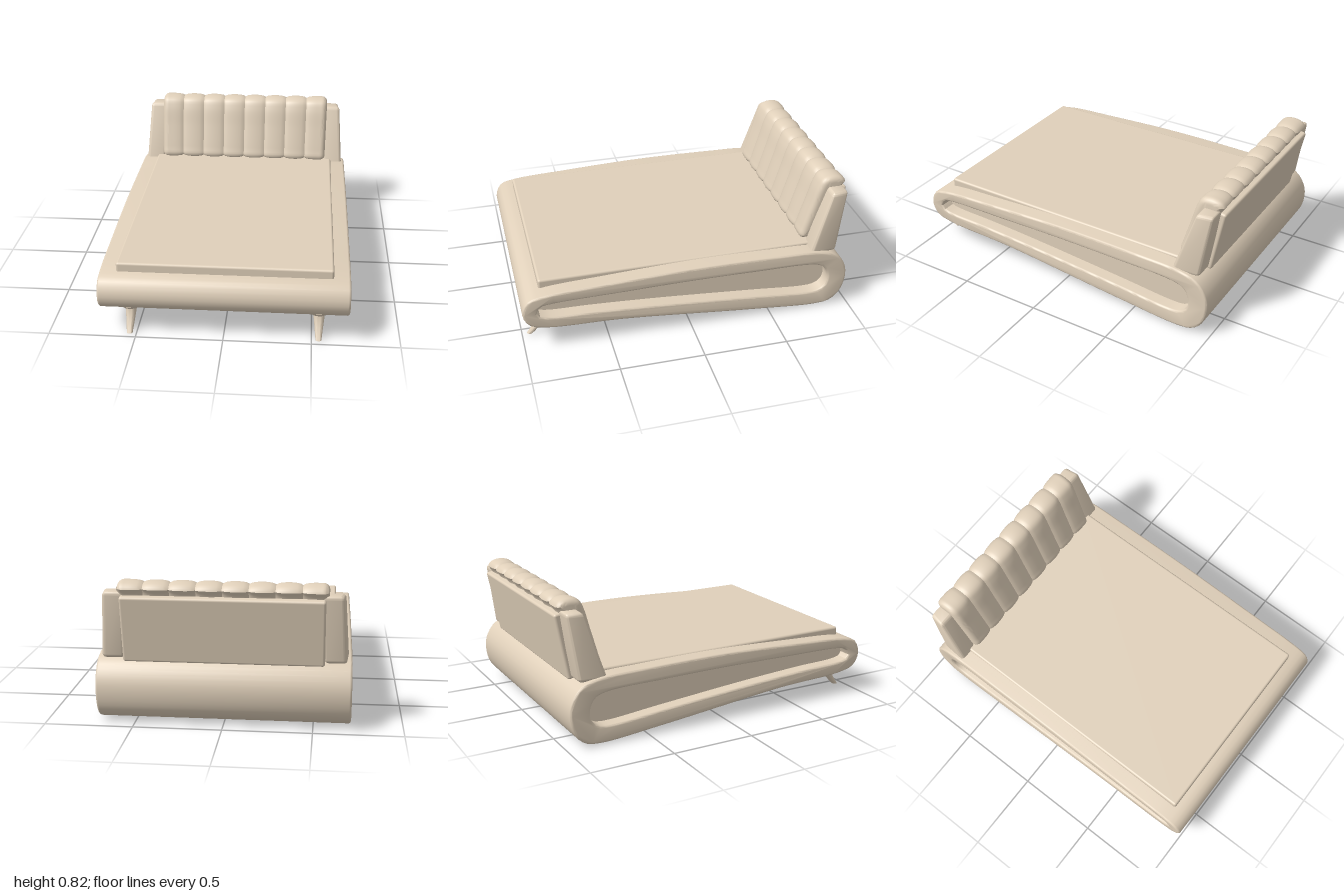
import * as THREE from 'three';
import { toCreasedNormals } from 'three/addons/utils/BufferGeometryUtils.js';
import { RoundedBoxGeometry } from 'three/addons/geometries/RoundedBoxGeometry.js';

const material = new THREE.MeshStandardMaterial({ color: 0xe0d0ba });

function addMesh(parent, name, geometry) {
  const mesh = new THREE.Mesh(geometry, material);
  mesh.name = name;
  parent.add(mesh);
  return mesh;
}

// Smooth closed outline through (z, y) points
function outline(points, count) {
  const curve = new THREE.CatmullRomCurve3(
    points.map(([z, y]) => new THREE.Vector3(z, y, 0)), true);
  return curve.getSpacedPoints(count).slice(0, -1).map(p => new THREE.Vector2(p.x, p.y));
}

// Extrude a (z, y) shape across the full width, centred on x = 0
function extrudeAcross(shape, width, bevel) {
  const g = new THREE.ExtrudeGeometry(shape, {
    depth: width - 2 * bevel, bevelEnabled: bevel > 0, bevelThickness: bevel,
    bevelSize: bevel, bevelOffset: -bevel, bevelSegments: 3,
  });
  g.translate(0, 0, -(width - 2 * bevel) / 2);
  g.rotateY(-Math.PI / 2);
  return toCreasedNormals(g, 0.6);
}

// Move every vertex by a rule
function reshape(geometry, rule) {
  const pos = geometry.attributes.position;
  const v = new THREE.Vector3();
  for (let i = 0; i < pos.count; i++) {
    rule(v.fromBufferAttribute(pos, i));
    pos.setXYZ(i, v.x, v.y, v.z);
  }
  geometry.computeVertexNormals();
  return geometry;
}

// Channelled cushion: a rounded section lofted along x, pinched at each seam
function cushionGeometry() {
  const section = outline([
    [-0.722, 0.43], [-0.735, 0.48], [-0.78, 0.63], [-0.818, 0.755], [-0.845, 0.803],
    [-0.9, 0.82], [-0.96, 0.808], [-0.984, 0.78], [-0.965, 0.75], [-0.94, 0.62],
    [-0.89, 0.42], [-0.8, 0.413], [-0.735, 0.413],
  ], 72);
  const n = section.length;
  const normals = section.map((p, i) => {
    const d = section[(i + 1) % n].clone().sub(section[(i + n - 1) % n]).normalize();
    return new THREE.Vector2(-d.y, d.x); // points into the section
  });
  const centre = new THREE.Vector2(-0.855, 0.6);
  const channels = 8, half = 0.577, round = 0.035;

  // Stations along x, closer together at the rounded ends
  const xs = [-half];
  for (let k = 0; k <= 6; k++) xs.push(-half + round * (1 - Math.cos(k / 6 * Math.PI / 2)));
  const steps = channels * 10;
  for (let k = 1; k < steps; k++) {
    const x = -half + 2 * half * k / steps;
    if (Math.abs(x) < half - round - 0.002) xs.push(x);
  }
  for (let k = 6; k >= 0; k--) xs.push(half - round * (1 - Math.cos(k / 6 * Math.PI / 2)));
  xs.push(half);

  const positions = [], index = [];
  xs.forEach((x, r) => {
    const cap = r === 0 || r === xs.length - 1;
    const t = (x + half) / (2 * half) * channels;
    const edge = Math.max(0, 1 - (half - Math.abs(x)) / round);
    const inner = Math.abs(x) < half * (1 - 1 / channels);
    const bulge = inner || Math.abs(t - channels / 2) < channels / 2 - 0.5
      ? Math.abs(Math.sin(Math.PI * t)) : 1;
    const inset = 0.014 * (1 - Math.sqrt(bulge)) + round * (1 - Math.sqrt(1 - edge * edge));
    section.forEach((p, i) => {
      const q = cap ? centre : p.clone().addScaledVector(normals[i], inset);
      positions.push(x * (1 + 0.03 * (q.y - 0.7)), q.y, q.x);
      if (r > 0) {
        const a = (r - 1) * n + i, b = (r - 1) * n + (i + 1) % n;
        index.push(a, a + n, b, b, a + n, b + n);
      }
    });
  });
  const g = new THREE.BufferGeometry();
  g.setAttribute('position', new THREE.Float32BufferAttribute(positions, 3));
  g.setIndex(index);
  // Keep faces outward whichever way the section runs
  if (THREE.ShapeUtils.isClockWise(section)) index.reverse(), g.setIndex(index);
  return toCreasedNormals(g, 0.7);
}

// Slanted side wing of the headboard
function wingGeometry(side) {
  const g = new RoundedBoxGeometry(0.125, 0.39, 0.16, 4, 0.022);
  return toCreasedNormals(reshape(g, v => {
    const t = v.y / 0.39 + 0.5;           // 0 at the foot, 1 at the top
    const s = v.z / 0.16 + 0.5;           // 0 at the back, 1 at the front
    const back = THREE.MathUtils.lerp(-0.91, -0.966, t);
    const front = THREE.MathUtils.lerp(-0.74, -0.868, t);
    const outer = THREE.MathUtils.lerp(0.693, 0.667, t) - 0.012 * (1 - s);
    v.set(side * (outer - 0.0625) + v.x, 0.37 + 0.39 * t, THREE.MathUtils.lerp(back, front, s));
  }), 0.6);
}

export function createModel() {
  const model = new THREE.Group();
  model.name = 'bed';

  // Wrap-around frame with a slot through its sides
  const outer = outline([
    [1, 0.25], [0.965, 0.335], [0.88, 0.362], [0.5, 0.386], [0, 0.405], [-0.5, 0.402],
    [-0.8, 0.39], [-0.91, 0.355], [-0.97, 0.27], [-0.98, 0.18], [-0.95, 0.08],
    [-0.89, 0.025], [-0.8, 0.01], [-0.4, 0.04], [0.4, 0.118], [0.87, 0.143], [0.965, 0.175],
  ], 140);
  const slot = outline([
    [0.917, 0.25], [0.895, 0.29], [0.84, 0.302], [0.4, 0.312], [0, 0.318], [-0.4, 0.315],
    [-0.76, 0.305], [-0.83, 0.28], [-0.862, 0.21], [-0.845, 0.14], [-0.8, 0.113],
    [-0.72, 0.108], [-0.4, 0.135], [0.2, 0.182], [0.6, 0.205], [0.84, 0.213], [0.9, 0.226],
  ], 120);
  const frameShape = new THREE.Shape(outer);
  frameShape.holes.push(new THREE.Path(slot));
  addMesh(model, 'frame', extrudeAcross(frameShape, 1.42, 0.013));

  // Recessed panel closing the slot
  addMesh(model, 'sidePanels', extrudeAcross(new THREE.Shape(slot), 1.26, 0));

  // Mattress
  addMesh(model, 'mattress', new RoundedBoxGeometry(1.23, 0.08, 1.69, 4, 0.014))
    .position.set(0, 0.373, 0.045);

  // Headboard: cushion, back board and wings
  const headboard = new THREE.Group();
  headboard.name = 'headboard';
  model.add(headboard);
  addMesh(headboard, 'channelledCushion', cushionGeometry());
  const board = addMesh(headboard, 'backBoard', new RoundedBoxGeometry(1.12, 0.39, 0.05, 4, 0.014));
  board.position.set(0, 0.55, -0.935);
  board.rotation.x = -0.19;
  for (const side of [1, -1]) {
    addMesh(headboard, side > 0 ? 'leftWing' : 'rightWing', wingGeometry(side));
  }

  // Curved, tapering front legs with mounting discs
  for (const side of [1, -1]) {
    const leg = new THREE.Group();
    leg.name = side > 0 ? 'leftLeg' : 'rightLeg';
    leg.position.set(side * 0.54, 0, 0.862);
    model.add(leg);
    const horn = new THREE.CylinderGeometry(0.037, 0.017, 0.15, 24, 14);
    horn.translate(0, 0.075, 0);
    reshape(horn, v => { v.z += 0.09 * Math.pow(Math.max(0, 1 - v.y / 0.15), 1.5); });
    addMesh(leg, 'horn', toCreasedNormals(horn, 0.7));
    addMesh(leg, 'mountingDisc', new THREE.CylinderGeometry(0.068, 0.058, 0.014, 32))
      .position.y = 0.142;
  }
  return model;
}
